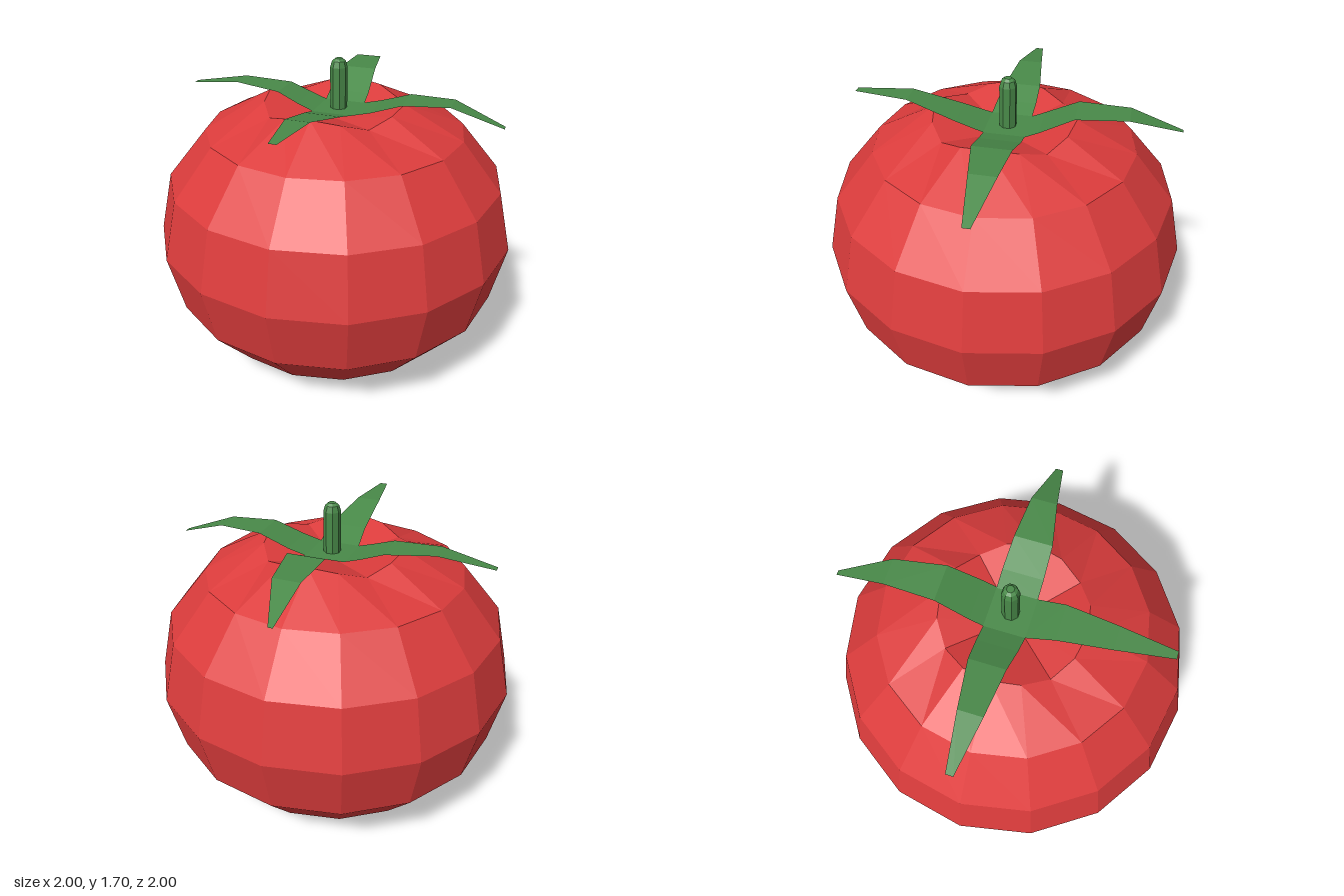
import * as THREE from 'three';

const red = new THREE.MeshStandardMaterial({ color: 0xdc3c3c, flatShading: true });
red.name = 'tomatoRed';
const green = new THREE.MeshStandardMaterial({ color: 0x498a49, flatShading: true, side: THREE.DoubleSide });
green.name = 'leafGreen';

function addMesh(parent, name, geometry, material) {
  const mesh = new THREE.Mesh(geometry, material);
  mesh.name = name;
  parent.add(mesh);
  return mesh;
}

// Faceted fruit, its shoulder ring pinched down on the four diagonals
function fruitGeometry() {
  const profile = [
    [0, 0], [0.38, 0.008], [0.707, 0.145], [0.924, 0.4], [1, 0.73],
    [0.924, 1.06], [0.707, 1.325], [0.383, 1.49], [0, 1.37],
  ].map(([r, y]) => new THREE.Vector2(r, y));
  const geometry = new THREE.LatheGeometry(profile, 16);
  const pos = geometry.attributes.position;
  for (let i = 0; i < pos.count; i++) {
    if (Math.abs(pos.getY(i) - 1.49) > 0.001) continue;
    const lobe = Math.abs(Math.sin(2 * Math.atan2(pos.getX(i), pos.getZ(i))));
    pos.setY(i, 1.493 - 0.058 * lobe ** 3);
  }
  geometry.computeVertexNormals();
  return geometry;
}

// Ribbon through cross-sections [along, sideA, sideB, height]
function leafGeometry(axis, sections) {
  const points = [];
  const index = [];
  sections.forEach(([along, a, b, y], i) => {
    for (const side of [a, b]) points.push(...(axis === 'x' ? [along, y, side] : [side, y, along]));
    if (i > 0) {
      const k = 2 * i - 2;
      index.push(k, k + 1, k + 2, k + 1, k + 3, k + 2);
    }
  });
  const geometry = new THREE.BufferGeometry();
  geometry.setAttribute('position', new THREE.Float32BufferAttribute(points, 3));
  geometry.setIndex(index);
  geometry.computeVertexNormals();
  return geometry;
}

export function createModel() {
  const model = new THREE.Group();
  model.name = 'tomato';
  addMesh(model, 'fruit', fruitGeometry(), red);

  // Four drooping leaves meeting at a small flat hub
  const calyx = new THREE.Group();
  calyx.name = 'calyx';
  model.add(calyx);
  const hubY = 1.43;
  const leaves = {
    leftLeaf: ['x', [[0.12, -0.13, 0.09, hubY], [0.22, -0.13, 0.09, 1.455], [0.39, -0.12, 0.085, 1.512],
      [0.63, -0.1, 0.04, 1.515], [0.905, -0.04, 0, 1.42]]],
    rightLeaf: ['x', [[-0.1, 0.09, -0.13, hubY], [-0.19, 0.08, -0.135, 1.46], [-0.31, 0.06, -0.135, 1.505],
      [-0.57, 0.03, -0.1, 1.525], [-0.865, -0.02, -0.06, 1.48]]],
    frontLeaf: ['z', [[0.09, 0.12, -0.1, hubY], [0.24, 0.115, -0.085, 1.475],
      [0.52, 0.055, -0.075, 1.538], [0.82, 0.012, -0.03, 1.536]]],
    backLeaf: ['z', [[-0.13, -0.1, 0.125, hubY], [-0.2, -0.1, 0.125, 1.462], [-0.38, -0.09, 0.11, 1.552],
      [-0.65, -0.08, 0.065, 1.55], [-0.925, -0.065, -0.04, 1.46]]],
    hub: ['x', [[-0.1, -0.13, 0.09, hubY], [0.12, -0.13, 0.09, hubY]]],
  };
  for (const [name, [axis, sections]] of Object.entries(leaves)) {
    addMesh(calyx, name, leafGeometry(axis, sections), green);
  }

  // Eight-sided stem with a bevelled tip
  const stemProfile = [[0.046, 1.41], [0.046, 1.655], [0.036, 1.687], [0.02, 1.7], [0, 1.7]]
    .map(([r, y]) => new THREE.Vector2(r, y));
  const stemGeometry = new THREE.LatheGeometry(stemProfile, 8, Math.PI / 8);
  const stem = addMesh(model, 'stem', stemGeometry, green);
  stem.position.set(0.012, 0, -0.02);
  return model;
}
